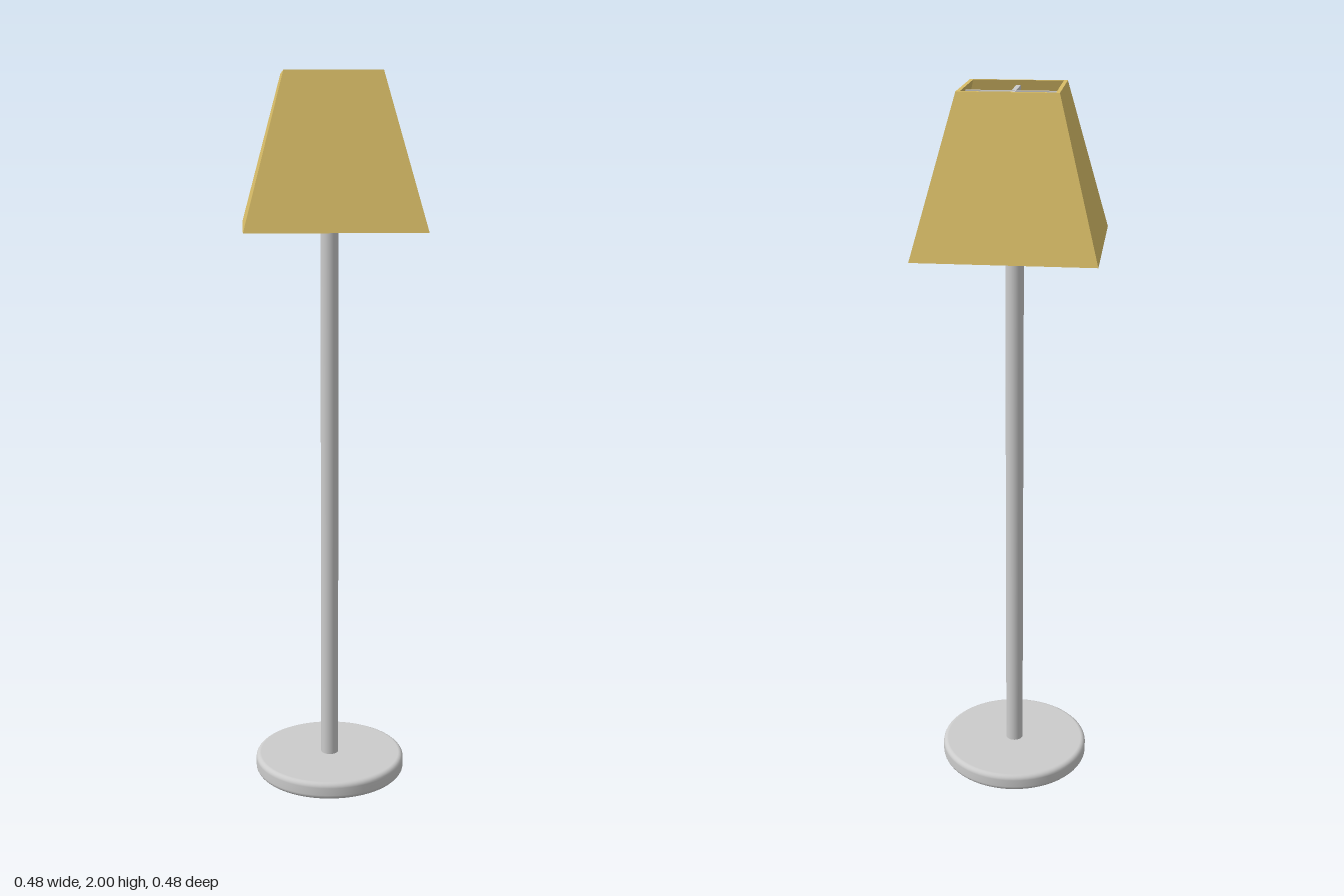
import * as THREE from 'three';

const grey = new THREE.MeshStandardMaterial({ color: 0xcccccc });
const amber = new THREE.MeshStandardMaterial({ color: 0xd9be68 });

function add(parent, name, geometry, material, x = 0, y = 0, z = 0) {
  const mesh = new THREE.Mesh(geometry, material);
  mesh.name = name;
  mesh.position.set(x, y, z);
  parent.add(mesh);
  return mesh;
}

// Hollow four-sided shade: square rings joined in a closed loop, flat faces.
function shadeGeometry() {
  const rings = [[0.24, 1.59], [0.13, 2.0], [0.12, 2.0], [0.229, 1.59]]; // half-width, height
  const corners = [[-1, 1], [1, 1], [1, -1], [-1, -1]];
  const point = (r, c) => {
    const [h, y] = rings[r % 4], [sx, sz] = corners[c % 4];
    return [sx * h, y, sz * h];
  };
  const positions = [];
  for (let r = 0; r < 4; r++) {
    for (let c = 0; c < 4; c++) {
      const a = point(r, c), b = point(r, c + 1), d = point(r + 1, c + 1), e = point(r + 1, c);
      positions.push(...a, ...b, ...d, ...a, ...d, ...e);
    }
  }
  const geometry = new THREE.BufferGeometry();
  geometry.setAttribute('position', new THREE.Float32BufferAttribute(positions, 3));
  geometry.computeVertexNormals();
  return geometry;
}

// Round foot with softened rims
function baseGeometry() {
  const radius = 0.217, height = 0.05, bevel = 0.014;
  const profile = [new THREE.Vector2(0, 0)];
  for (const [cy, start] of [[bevel, -Math.PI / 2], [height - bevel, 0]]) {
    for (let i = 0; i <= 5; i++) {
      const t = start + (i / 5) * Math.PI / 2;
      profile.push(new THREE.Vector2(radius - bevel + bevel * Math.cos(t), cy + bevel * Math.sin(t)));
    }
  }
  profile.push(new THREE.Vector2(0, height));
  return new THREE.LatheGeometry(profile, 64);
}

export function createModel() {
  const model = new THREE.Group();
  model.name = 'floorLamp';

  // Stand: foot, pole and bulb share one axis
  const stand = new THREE.Group();
  stand.name = 'stand';
  stand.position.set(-0.003, 0, 0.004);
  model.add(stand);
  add(stand, 'base', baseGeometry(), grey);
  add(stand, 'pole', new THREE.CylinderGeometry(0.025, 0.025, 1.72, 32), grey, 0, 0.9, 0);
  add(stand, 'bulb', new THREE.SphereGeometry(0.033, 32, 20), grey, 0, 1.78, 0);

  // Shade with a cross of thin bars just inside its top opening
  const shade = new THREE.Group();
  shade.name = 'shade';
  model.add(shade);
  add(shade, 'shadePanels', shadeGeometry(), amber);
  add(shade, 'crossBarX', new THREE.BoxGeometry(0.248, 0.012, 0.01), grey, 0, 1.982, 0);
  add(shade, 'crossBarZ', new THREE.BoxGeometry(0.012, 0.012, 0.248), grey, 0, 1.981, 0);

  return model;
}
